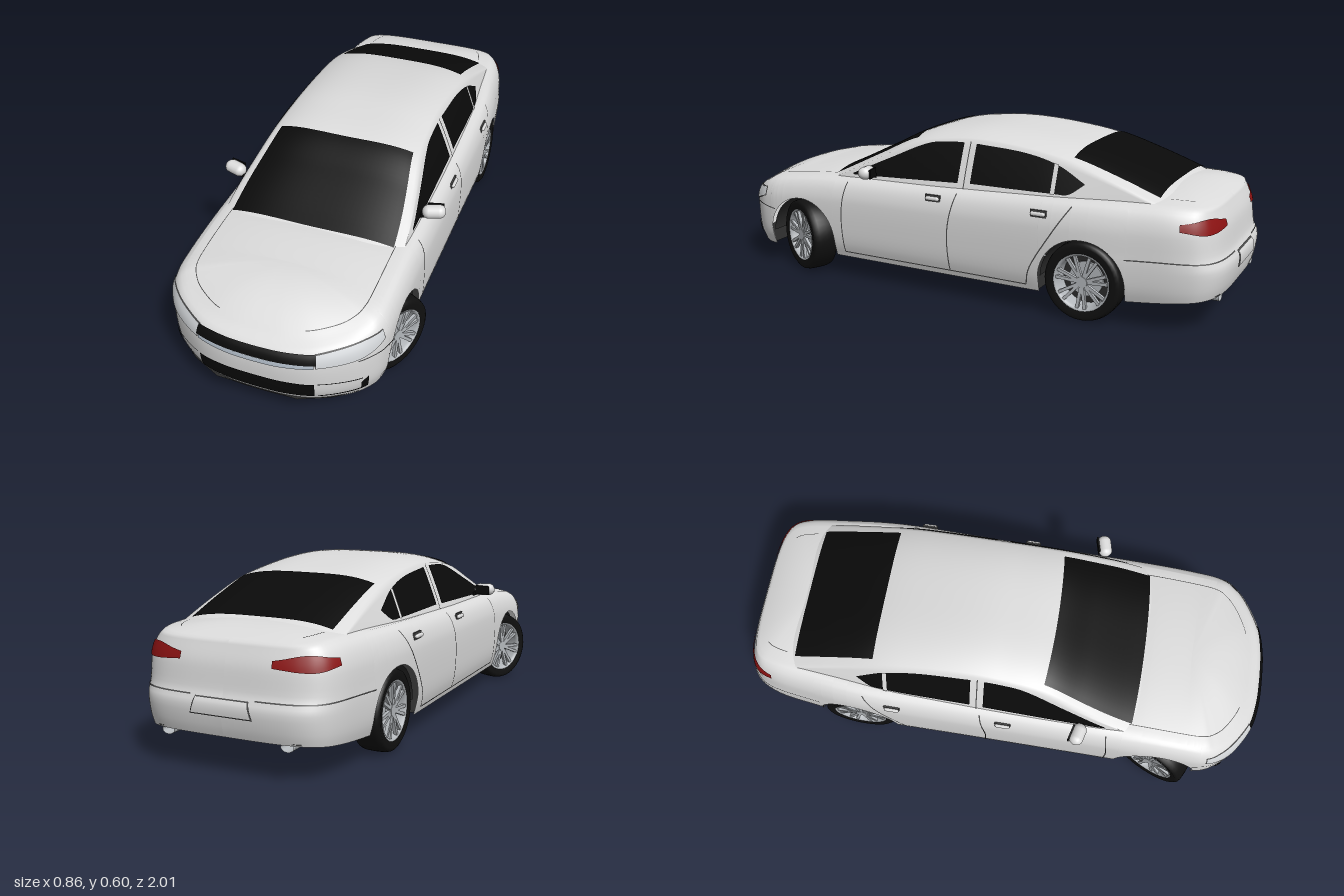
import * as THREE from 'three';

const mat = (name, color) => new THREE.MeshStandardMaterial({ name, color, side: THREE.DoubleSide });

// Smooth curve through [x, y] pairs sorted by x, clamped at both ends
function at(tab, x) {
  const n = tab.length - 1;
  if (x <= tab[0][0]) return tab[0][1];
  if (x >= tab[n][0]) return tab[n][1];
  let i = 0;
  while (x > tab[i + 1][0]) i++;
  const slope = k => {
    const a = tab[Math.max(k - 1, 0)], b = tab[Math.min(k + 1, n)];
    return (b[1] - a[1]) / (b[0] - a[0]);
  };
  const h = tab[i + 1][0] - tab[i][0], t = (x - tab[i][0]) / h, t2 = t * t, t3 = t2 * t;
  return (2 * t3 - 3 * t2 + 1) * tab[i][1] + (t3 - 2 * t2 + t) * h * slope(i)
    + (3 * t2 - 2 * t3) * tab[i + 1][1] + (t3 - t2) * h * slope(i + 1);
}
const range = (a, b, n) => Array.from({ length: n + 1 }, (_, i) => a + (b - a) * i / n);
const even = a => a.map((v, i) => [i / (a.length - 1), v]);

// Surface through fn(u, v) -> [x, y, z]
function grid(us, vs, fn) {
  const pos = [], idx = [], m = vs.length;
  for (const u of us) for (const v of vs) pos.push(...fn(u, v));
  for (let i = 0; i < us.length - 1; i++) for (let j = 0; j < m - 1; j++) {
    const a = i * m + j, b = a + m;
    idx.push(a, b, b + 1, a, b + 1, a + 1);
  }
  const g = new THREE.BufferGeometry();
  g.setAttribute('position', new THREE.Float32BufferAttribute(pos, 3));
  g.setIndex(idx);
  g.computeVertexNormals();
  return g;
}

// Plan outline of the body from nose centre to tail centre, as (x, z)
const outline = new THREE.SplineCurve([[0, 1], [.1, .996], [.2, .974], [.295, .92], [.35, .865], [.38, .8], [.388, .68],
  [.388, .3], [.388, -.1], [.387, -.5], [.362, -.745], [.342, -.875], [.31, -.945], [.25, -.983], [.15, -.998], [0, -1]]
  .map(p => new THREE.Vector2(...p)));
const SILL = .085, ARCH = .153, HUB = .14, AXLES = [.63, -.54];
const shoulder = [[-1, .415], [-.8, .425], [-.4, .415], [0, .402], [.5, .388], [.8, .355], [.9, .328], [1, .3]];
const deck = [[-.75, .455], [-.6, .44], [-.3, .415], [.3, .405], [.5, .408], [.57, .408], [.7, .397]];
const lowEdge = [[-1, .125], [-.7, .095], [-.4, SILL], [1, .083]];
const sideInset = [[0, .02], [.15, .006], [.35, 0], [.7, 0], [.85, .01], [.95, .028], [1, .05]];
const tailInset = [[0, .035], [.15, .012], [.35, 0], [.45, .002], [.52, .015], [.8, .03], [1, .055]];

function solve(test, lo, hi) {
  for (let i = 0; i < 40; i++) { const m = (lo + hi) / 2; if (test(outline.getPoint(m))) lo = m; else hi = m; }
  return (lo + hi) / 2;
}
const tz = z => solve(p => p.y > z, 0, 1);
const noseT = x => Math.sign(x) * solve(p => p.x < Math.abs(x), 0, 6 / 15);
const tailT = x => solve(p => p.x > x, 10 / 15, 1);

// Point on the body side; t runs -1..1 around the car with 0 at the nose
function shell(t, y, off = 0) {
  const a = Math.min(Math.abs(t), 1), s = t < 0 ? -1 : 1, p = outline.getPoint(a), d = outline.getTangent(a);
  const h = (y - SILL) / (at(shoulder, p.y) - SILL), w = Math.max(0, -d.x);
  const k = off - at(sideInset, h) * (1 - w) - at(tailInset, h) * w;
  return [s * Math.max(0, p.x - d.y * k), y, p.y + d.x * k];
}
// Point on bonnet or boot; f runs from 1 at the shoulder to 0 on the centre line
function top(t, f, off = 0) {
  const z0 = outline.getPoint(Math.min(Math.abs(t), 1)).y, s = at(shoulder, z0);
  const [x, , z] = shell(t, s), zc = Math.min(.7, Math.max(-.75, z));
  return [x * f, s + (at(deck, zc) - s) * (1 - f ** 2.2) + off, zc + (z - zc) * f];
}
function bottom(z) {
  for (const c of AXLES) if (Math.abs(z - c) < ARCH) return HUB + Math.sqrt(ARCH ** 2 - (z - c) ** 2);
  return at(lowEdge, z);
}

// Cabin: roof height, side lean and plan taper
const roofLine = [[-.86, .425], [-.77, .458], [-.62, .513], [-.46, .563], [-.3, .59], [-.13, .604], [0, .6],
  [.17, .573], [.31, .508], [.46, .436], [.54, .4]];
const lean = [[.35, .352], [.39, .34], [.43, .327], [.497, .302], [.56, .276], [.6, .255]];
const taper = [[-.86, .89], [-.6, .95], [-.35, 1], [.35, 1], [.54, .97]];
const cabinX = (z, y) => at(lean, y) * at(taper, z);
const eaves = z => at(roofLine, z) - .035;
function roof(z, q, off = 0) {
  const e = eaves(z);
  return [cabinX(z, e) * q, e + .035 * (1 - Math.abs(q) ** 3.5) + off, z];
}
function cabin(z, v) {
  const a = Math.abs(v);
  if (a <= 1) return roof(z, v);
  const e = eaves(z), y = e + (Math.min(.375, e - .01) - e) * (a - 1);
  return [Math.sign(v) * cabinX(z, y), y, z];
}

export function createModel() {
  const M = {
    paint: mat('body paint', 0xdcdcdc), glass: mat('black glass', 0x0a0a0a), tyre: mat('tyre rubber', 0x101010),
    floor: mat('underbody', 0x2b2b2b), seam: mat('panel gap', 0x4c4c4c), metal: mat('alloy', 0xb4b8bc),
    lamp: mat('lamp lens', 0xd2d5d8), red: mat('tail lamp red', 0x8c1212), trim: mat('grille trim', 0xb4bfcb),
  };
  const car = new THREE.Group();
  car.name = 'saloonCar';
  const add = (name, geo, m, parent = car, x = 0, y = 0, z = 0) => {
    const o = new THREE.Mesh(geo, m);
    o.name = name;
    o.position.set(x, y, z);
    parent.add(o);
    return o;
  };

  // Body with wheel arches cut into its lower edge
  const ts = range(0, 1, 75);
  for (const c of AXLES) {
    for (let i = 0; i <= 24; i++) ts.push(tz(c + ARCH * .9999 * Math.cos(Math.PI * i / 24)));
    ts.push(tz(c + ARCH + .0004), tz(c - ARCH - .0004));
  }
  ts.sort((a, b) => a - b);
  const loop = [...ts.slice(1).reverse().map(t => -t), ...ts];
  add('body', grid(loop, [...range(0, .7, 11), ...range(.74, 1, 8), ...range(1.06, 2, 12)], (t, v) => {
    if (v > 1) return top(t, 2 - v);
    const z = outline.getPoint(Math.abs(t)).y, b = bottom(z);
    return shell(t, b + (at(shoulder, z) - b) * v);
  }), M.paint);
  add('cabin', grid(range(.54, -.86, 56), [...range(2, 1, 8), ...range(.96, -.96, 36), ...range(-1, -2, 8)], cabin), M.paint);

  // Windscreen, rear window and side windows
  const pane = (name, z0, z1, q0, q1) => add(name, grid(range(z0, z1, 20), range(1, -1, 24),
    (z, v) => roof(z - (z0 > 0 ? .012 * v * v : 0), v * (q0 + (q1 - q0) * (z - z0) / (z1 - z0)), .004)), M.glass);
  pane('windscreen', .52, .18, .9, .89);
  pane('rearWindow', -.46, -.77, .9, .87);
  const sidePane = (name, m, s, z0, z1, lo, hi, off) => add(name, grid(range(z0, z1, 24), range(0, 1, 6), (z, v) => {
    const a = at(lo, z), y = a + (at(hi, z) - a) * v;
    return [s * (cabinX(z, y) + off), y, z];
  }), m);
  const patch = (name, m, t0, t1, lo, hi, off = .004) => add(name, grid(range(0, 1, 24), range(0, 1, 4), (k, v) => {
    const a = at(even(lo), k), b = at(even(hi), k);
    return shell(t0 + (t1 - t0) * k, a + (b - a) * v, off);
  }), m);
  const seam = (name, s, path, w = .0022) => {
    const zs = even(path.map(p => p[0])), ys = even(path.map(p => p[1]));
    add(name, grid(range(0, 1, 16), [-w, w], (k, v) => {
      const dz = at(zs, Math.min(1, k + .01)) - at(zs, Math.max(0, k - .01));
      const dy = at(ys, Math.min(1, k + .01)) - at(ys, Math.max(0, k - .01)), l = Math.hypot(dz, dy);
      return shell(s * tz(at(zs, k) - dy / l * v), at(ys, k) + dz / l * v, .002);
    }), M.seam);
  };

  for (const s of [1, -1]) {
    sidePane('frontSideWindow', M.glass, s, .41, -.045, [[-.045, .422], [.41, .404]],
      [[-.045, .56], [0, .559], [.1, .546], [.25, .482], [.41, .409]], .004);
    sidePane('rearSideWindow', M.glass, s, -.095, -.52, [[-.52, .464], [-.47, .428], [-.42, .426], [-.095, .425]],
      [[-.52, .467], [-.42, .518], [-.29, .547], [-.095, .56]], .004);
    sidePane('windowDivider', M.paint, s, -.405, -.42, [[-.42, .424], [-.4, .424]], [[-.42, .522], [-.4, .526]], .007);
    sidePane('pillarGap', M.seam, s, -.068, -.072, [[-.08, .405], [-.06, .405]], [[-.08, .565], [-.06, .565]], .003);

    // Door, wing and bumper gaps
    seam('frontDoorGap', s, [[.43, .105], [.435, .25], [.42, .378]]);
    seam('middleDoorGap', s, [[-.035, .105], [-.03, .25], [-.055, .39]]);
    seam('rearDoorGap', s, [[-.34, .105], [-.36, .18], [-.44, .31], [-.5, .4]]);
    seam('sillGap', s, [[.43, .105], [-.34, .105]]);
    seam('rearBumperGap', s, [[-.69, .245], [-.82, .25], [-.95, .25]]);
    seam('frontBumperGap', s, [[.76, .235], [.84, .245], [.9, .245]]);
    const strip = (name, f, t0, t1) => add(name, grid(range(s * t0, s * t1, 30), [-.004, .004],
      (t, v) => top(t, f + v, .0015)), M.seam);
    strip('bonnetGap', .9, noseT(.18), tz(.47));
    strip('bootGap', .82, tz(-.82), tz(-.95));

    // Lamps, each on a slightly larger dark plate that reads as its gap
    const hl = [noseT(.207) * s, noseT(.377) * s];
    patch('headlampGap', M.seam, hl[0] - s * .002, hl[1] + s * .003, [.24, .247, .259, .282], [.287, .303, .313, .318], .002);
    patch('headlamp', M.lamp, ...hl, [.243, .25, .262, .285], [.284, .3, .31, .315]);
    patch('tailLamp', M.red, s * tz(-.862), s * tailT(.165), [.355, .343, .343, .35], [.378, .39, .389, .372]);

    // Corner intakes in the front bumper
    patch('cornerIntake', M.glass, s * noseT(.328), s * noseT(.345), [.118, .115], [.15, .168]);
    patch('cornerIntakeLip', M.glass, s * noseT(.21), s * noseT(.34), [.112, .113], [.117, .12]);
    patch('cornerIntakeTop', M.seam, s * noseT(.21), s * noseT(.33), [.171, .165], [.174, .169]);

    // Door handles
    for (const z of [.035, -.385]) {
      const p = shell(s * tz(z), .365, .002);
      add('doorHandleRecess', new THREE.BoxGeometry(.006, .026, .06), M.seam, car, ...p);
      add('doorHandle', new THREE.CapsuleGeometry(.008, .04, 4, 8).rotateX(Math.PI / 2), M.paint, car, p[0] + s * .006, p[1], p[2]);
    }

    // Door mirror on its stalk
    const mirror = new THREE.Group();
    mirror.name = 'doorMirror';
    car.add(mirror);
    const shellGeo = new THREE.CapsuleGeometry(.024, .036, 8, 16).rotateZ(Math.PI / 2).scale(1, 1, 1.1);
    add('mirrorShell', shellGeo, M.paint, mirror, s * .382, .43, .315).rotation.set(0, s * .25, s * .08);
    add('mirrorGlass', new THREE.BoxGeometry(.06, .034, .006), M.glass, mirror, s * .381, .43, .29).rotation.y = s * .25;
    add('mirrorStalk', new THREE.BoxGeometry(.04, .014, .026), M.glass, mirror, s * .342, .411, .318).rotation.z = s * .3;
  }

  // Grille, lower intake, splitter slot and plate recess
  patch('grilleTrim', M.trim, noseT(-.2), noseT(.2), [.241, .234, .234, .241], [.255, .25, .25, .255]);
  patch('grille', M.glass, noseT(-.208), noseT(.208), [.254, .251, .251, .254], [.287, .283, .283, .287], .005);
  patch('lowerIntake', M.glass, noseT(-.2), noseT(.2), [.114, .112, .112, .114], [.172, .174, .174, .172]);
  patch('splitterSlot', M.seam, noseT(-.17), noseT(.17), [.087, .086, .086, .087], [.089, .094, .094, .089]);
  for (const [n, m, w, e, o] of [['plateRecessGap', M.seam, .112, .003, .003], ['plateRecess', M.paint, .108, 0, .006]])
    add(n, grid(range(-1, 1, 16), range(0, 1, 6), (u, v) => {
      const y = .195 - e + (.05 + 2 * e) * v, p = shell(tailT(Math.abs(u) * w * (1 - .15 * v)), y, o);
      return [u * w * (1 - .15 * v), y, p[2]];
    }), m);
  for (const s of [1, -1]) patch('tailBumperGap', M.seam, s * tz(-.95), s * tailT(.115), [.248, .248], [.252, .252], .002);

  // Underbody, narrowed between the wheels
  const zs = range(.985, -.975, 40);
  for (const c of AXLES) for (const e of [ARCH, -ARCH]) zs.push(c + e + .0005, c + e - .0005);
  zs.sort((a, b) => b - a);
  add('floor', grid(zs, [-1, -.3, .3, 1], (z, v) => {
    const w = AXLES.some(c => Math.abs(z - c) < ARCH) ? .197 : outline.getPoint(tz(z)).x - .022;
    return [v * w, at(lowEdge, z) + .008, z];
  }), M.floor);
  const rod = (name, r, pts, m = M.metal) => add(name, new THREE.TubeGeometry(
    new THREE.CatmullRomCurve3(pts.map(p => new THREE.Vector3(...p))), 40, r, 10), m);
  rod('exhaustPipe', .011, [[.03, .09, .5], [.02, .086, .1], [.03, .086, -.3], [.07, .095, -.6], [.1, .1, -.74]]);
  rod('tailPipe', .01, [[-.21, .11, -.9], [-.1, .1, -.84], [.1, .1, -.84], [.21, .11, -.9]]);
  add('silencer', new THREE.CapsuleGeometry(.032, .16, 6, 14).rotateZ(Math.PI / 2), M.metal, car, .07, .105, -.78);
  add('centreSilencer', new THREE.CapsuleGeometry(.022, .14, 6, 12).rotateX(Math.PI / 2), M.metal, car, .025, .092, -.1);
  for (const c of AXLES) {
    add('axle', new THREE.CylinderGeometry(.012, .012, .6, 10).rotateZ(Math.PI / 2), M.metal, car, 0, HUB, c);
    add('crossBeam', new THREE.BoxGeometry(.4, .022, .05), M.floor, car, 0, .092, c - .05);
    for (const s of [1, -1]) {
      rod('suspensionArm', .01, [[s * .12, .092, c - .07], [s * .2, .094, c - .03], [s * .29, .11, c]]);
      add('wheelWell', new THREE.CylinderGeometry(ARCH, ARCH, .172, 28, 1, true, 0, Math.PI).rotateZ(Math.PI / 2),
        M.floor, car, s * .281, HUB, c);
      add('wellWall', new THREE.CircleGeometry(ARCH, 24, 0, Math.PI).rotateY(Math.PI / 2), M.floor, car, s * .195, HUB, c);
      add('wellWallFoot', new THREE.BoxGeometry(.006, .05, 2 * ARCH), M.floor, car, s * .195, .118, c);
    }
  }
  for (const s of [1, -1])
    add('exhaustTip', new THREE.CylinderGeometry(.015, .015, .08, 14, 1, true).rotateX(Math.PI / 2).scale(1.5, 1, 1),
      M.metal, car, s * .215, .118, -.935);

  // Wheels: tyre, rim, paired spokes; the front pair is steered
  const lathe = pts => new THREE.LatheGeometry(pts.map(p => new THREE.Vector2(...p)), 40);
  const tyreGeo = lathe([[.098, -.044], [.124, -.05], [.135, -.043], [.139, -.03], [.14, 0], [.139, .03], [.135, .043], [.124, .05], [.098, .044]]);
  const rimGeo = lathe([[.1, -.045], [.091, -.036], [.088, 0], [.091, .034], [.095, .045], [.102, .046]]);
  for (const [i, z] of AXLES.entries()) for (const s of [1, -1]) {
    const steer = new THREE.Group(), wheel = new THREE.Group();
    steer.name = i ? 'rearWheel' : 'frontWheel';
    wheel.name = 'wheel';
    steer.position.set(s * (i ? .322 : .333), .14, z);
    steer.rotation.y = i ? 0 : -.44;
    wheel.rotation.z = -s * Math.PI / 2;
    car.add(steer);
    steer.add(wheel);
    add('tyre', tyreGeo, M.tyre, wheel);
    add('rim', rimGeo, M.metal, wheel);
    add('rimBack', new THREE.CylinderGeometry(.088, .088, .006, 32), M.floor, wheel, 0, -.015, 0);
    add('brakeDisc', new THREE.CylinderGeometry(.062, .062, .008, 28), M.metal, wheel, 0, -.004, 0);
    add('hubCap', new THREE.CylinderGeometry(.02, .027, .02, 20), M.metal, wheel, 0, .032, 0);
    for (let k = 0; k < 14; k++) {
      const a = (Math.floor(k / 2) + (k % 2 ? .17 : -.17)) * Math.PI * 2 / 7;
      const spoke = add('spoke', new THREE.BoxGeometry(.076, .012, .011).translate(.058, 0, 0), M.metal, wheel, 0, .034, 0);
      spoke.rotation.set(0, a, .04);
    }
  }
  return car;
}
